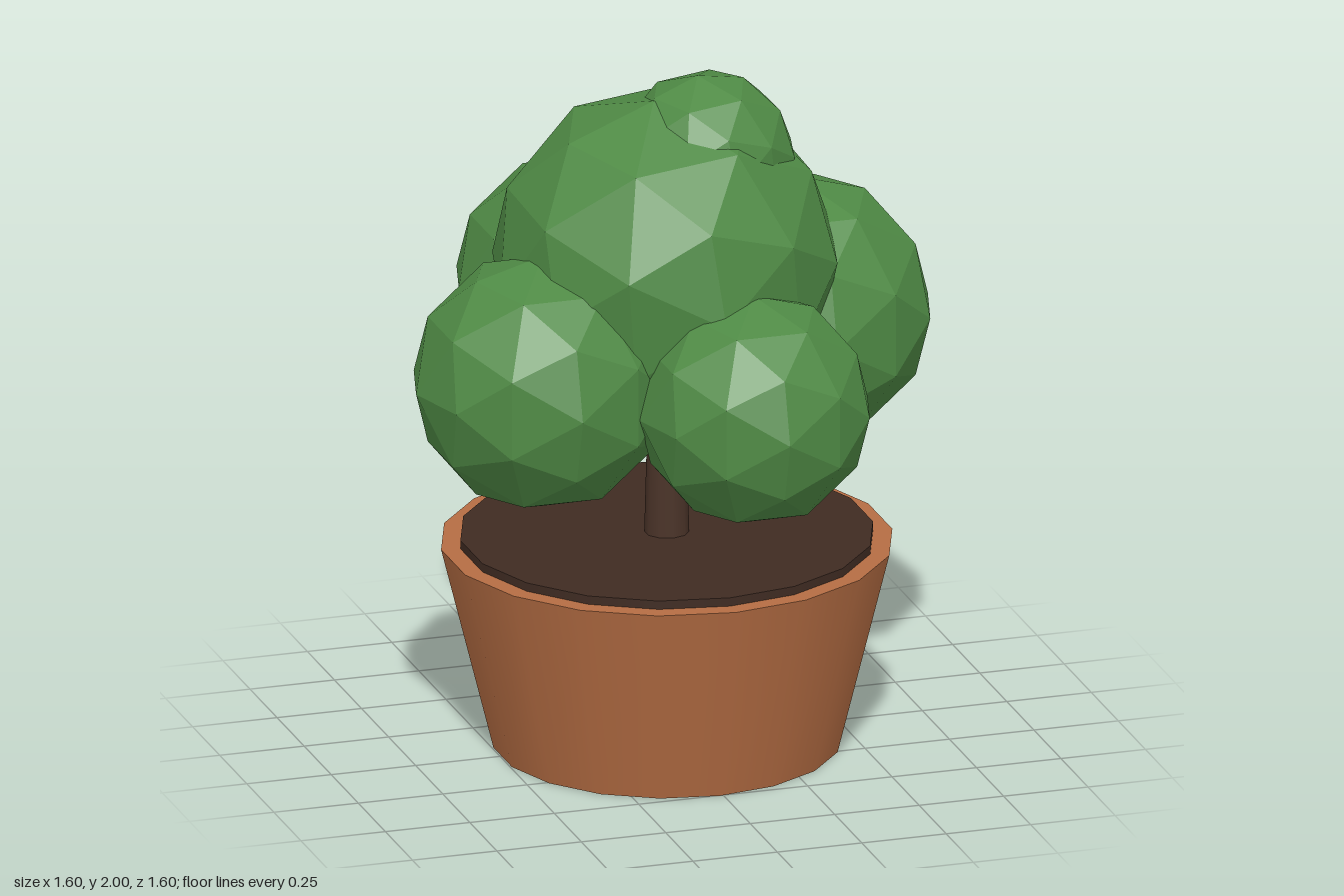
import * as THREE from 'three';

function material(name, color, flatShading = false) {
  const m = new THREE.MeshStandardMaterial({ color, flatShading });
  m.name = name;
  return m;
}

export function createModel() {
  const group = new THREE.Group();
  group.name = 'pottedTree';
  const terracotta = material('terracotta', 0xb56d43);
  const earth = material('darkSoil', 0x3f2b22);
  const bark = material('bark', 0x4a3328);
  const leaf = material('leafGreen', 0x4f8a45, true);

  // Upright tapered cylinder between two heights on the pot's axis
  const column = (name, rTop, rBottom, y0, y1, sides, mat) => {
    const mesh = new THREE.Mesh(new THREE.CylinderGeometry(rTop, rBottom, y1 - y0, sides), mat);
    mesh.position.set(-0.01, (y0 + y1) / 2, 0.01);
    mesh.name = name;
    group.add(mesh);
  };
  column('pot', 0.642, 0.493, 0, 0.6, 18, terracotta);
  column('soil', 0.587, 0.587, 0.55, 0.625, 18, earth);
  column('trunk', 0.047, 0.064, 0.6, 1.25, 10, bark);

  // Faceted foliage balls: name, radius, centre, tilt
  const foliage = [
    ['crownFoliage', 0.497, [-0.02, 1.45, 0.024], [0.1, 0.05, 0.1]],
    ['topFoliage', 0.256, [0.092, 1.745, 0.055], [0.03, 0.05, 0.11]],
    ['leftFoliage', 0.393, [0.407, 1.21, -0.106], [0, 0, 0]],
    ['rightFoliage', 0.374, [-0.426, 1.171, 0.16], [0, 0, 0]],
    ['frontFoliage', 0.337, [0.103, 1.133, 0.461], [0, 0, 0]],
    ['backFoliage', 0.356, [-0.124, 1.247, -0.444], [0, 0, 0]],
  ];
  for (const [name, radius, centre, tilt] of foliage) {
    const ball = new THREE.Mesh(new THREE.IcosahedronGeometry(radius, 1), leaf);
    ball.name = name;
    ball.position.set(...centre);
    ball.rotation.set(...tilt);
    group.add(ball);
  }
  return group;
}
